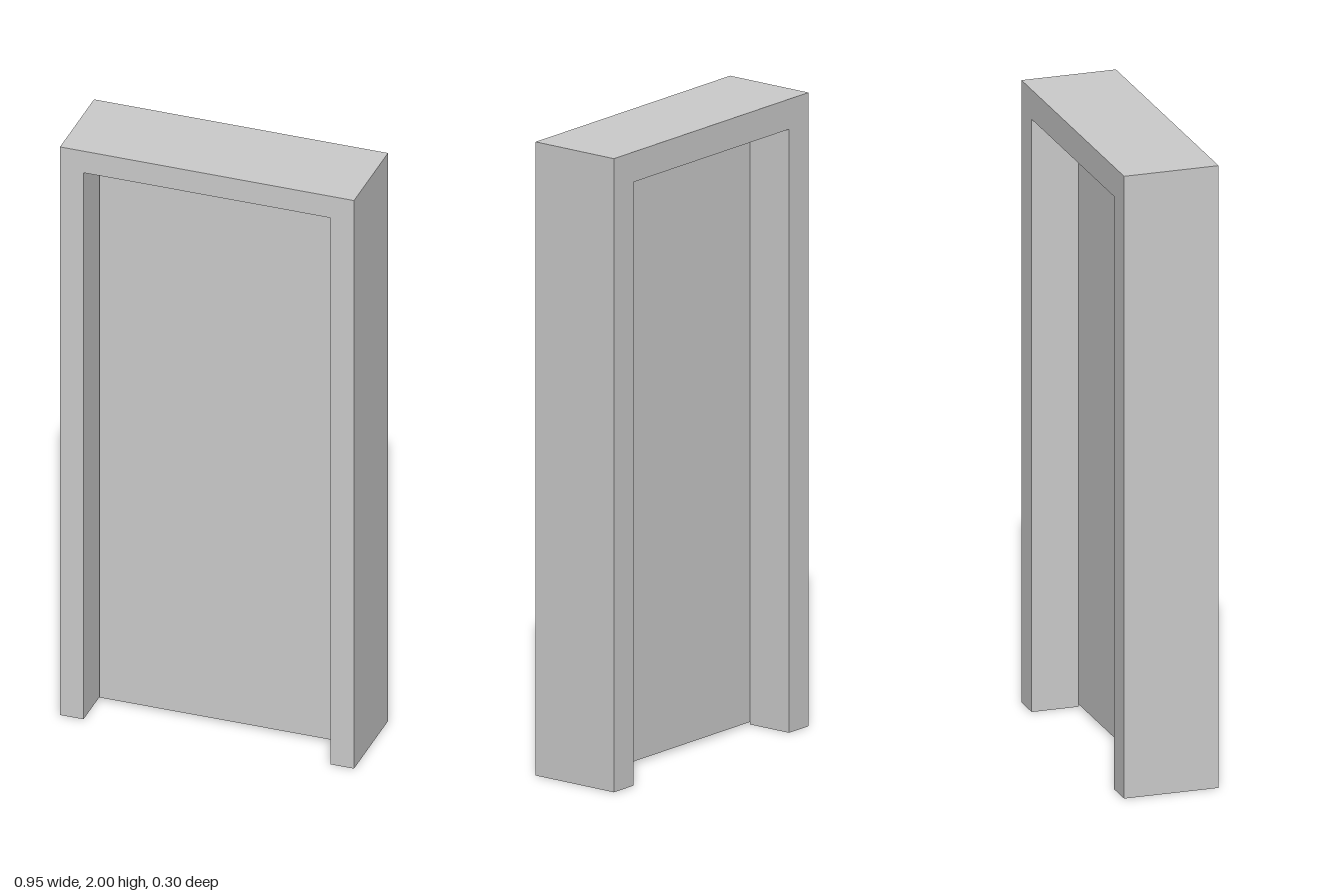
import * as THREE from 'three';

const W = 0.475, H = 2, D = 0.152; // half width, height, half depth
const LIP = 0.076;                 // casing width seen from the front
const STOP = 0.095;                // casing plus stop, seen from the back
const GAP = 0.006;                 // clearance around the leaf
const LEAF_BACK = -0.001, LEAF_FRONT = 0.025;

// Corners of the inverted-U path, moved inwards by d
const path = (d) => [[-W + d, 0], [-W + d, H - d], [W - d, H - d], [W - d, 0]];

// Sweeps a closed [inset, z] section along the U with mitred corners and open feet
function sweepU(section) {
  const pos = [];
  section.forEach(([d0, z0], i) => {
    const [d1, z1] = section[(i + 1) % section.length];
    const a = path(d0), b = path(d1);
    for (let k = 0; k < 3; k++) {
      const p = [...a[k], z0], q = [...a[k + 1], z0];
      const r = [...b[k + 1], z1], s = [...b[k], z1];
      pos.push(...p, ...r, ...q, ...p, ...s, ...r);
    }
  });
  const g = new THREE.BufferGeometry();
  g.setAttribute('position', new THREE.Float32BufferAttribute(pos, 3));
  g.computeVertexNormals();
  return g;
}

export function createModel() {
  const group = new THREE.Group();
  const solid = new THREE.MeshStandardMaterial({ color: 0xcccccc });
  const sheet = new THREE.MeshStandardMaterial({ color: 0xcccccc, side: THREE.DoubleSide });
  const add = (name, geometry, material) => {
    const mesh = new THREE.Mesh(geometry, material);
    mesh.name = name;
    group.add(mesh);
    return mesh;
  };

  // Hollow frame, open underneath
  add('frame', sweepU([[0, -D], [0, D], [LIP, D], [LIP, -D]]), sheet);

  // Stop lining the rear half of the opening
  const outline = [...path(LIP), ...path(STOP).reverse()].map(([x, y]) => new THREE.Vector2(x, y));
  const stop = new THREE.ExtrudeGeometry(new THREE.Shape(outline), { depth: D + LEAF_BACK, bevelEnabled: false });
  add('doorStop', stop, solid).position.z = -D;

  // Plain leaf resting against the stop
  const bottom = 0.008, top = H - LIP - GAP;
  const leaf = new THREE.BoxGeometry(2 * (W - LIP - GAP), top - bottom, LEAF_FRONT - LEAF_BACK);
  add('doorLeaf', leaf, solid).position.set(0, (top + bottom) / 2, (LEAF_FRONT + LEAF_BACK) / 2);

  return group;
}
